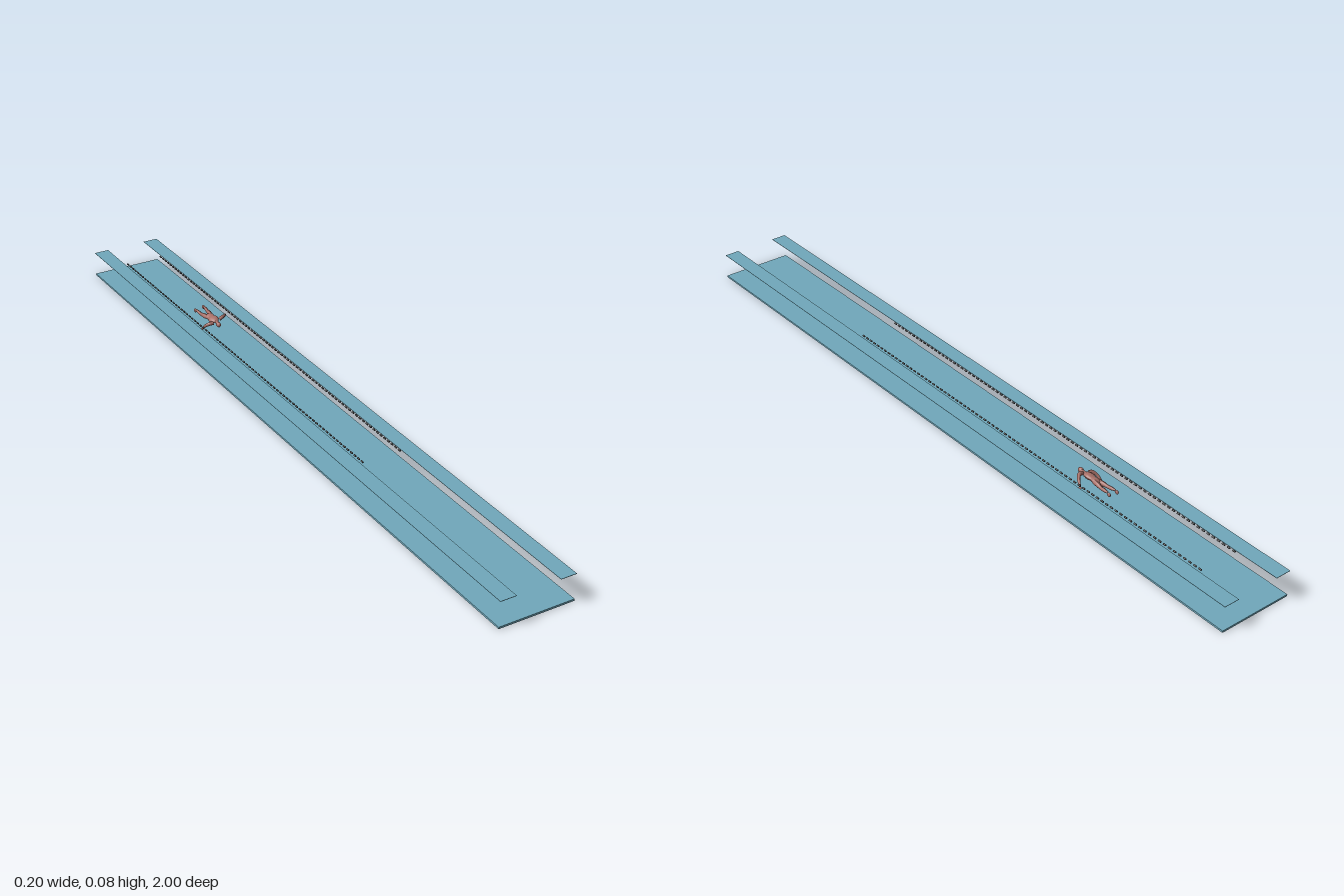
import * as THREE from 'three';

const V = (p) => new THREE.Vector3(...p);

// Rounded tapering tube through points; each point is [x, y, z, radius]
function limb(points, material, name, sides = 10) {
  const curve = new THREE.CatmullRomCurve3(points.map(V));
  const segs = 24;
  const geo = new THREE.TubeGeometry(curve, segs, 1, sides, false);
  const pos = geo.attributes.position;
  const v = new THREE.Vector3();
  for (let i = 0; i <= segs; i++) {
    const t = i / segs;
    const c = curve.getPointAt(t);
    const f = t * (points.length - 1);
    const k = Math.min(Math.floor(f), points.length - 2);
    const r = THREE.MathUtils.lerp(points[k][3], points[k + 1][3], f - k);
    for (let j = 0; j <= sides; j++) {
      const n = i * (sides + 1) + j;
      v.fromBufferAttribute(pos, n).sub(c).multiplyScalar(r).add(c);
      pos.setXYZ(n, v.x, v.y, v.z);
    }
  }
  geo.computeVertexNormals();
  const mesh = new THREE.Mesh(geo, material);
  mesh.name = name;
  return mesh;
}

function ball(x, y, z, sx, sy, sz, material, name) {
  const mesh = new THREE.Mesh(new THREE.SphereGeometry(1, 14, 10), material);
  mesh.position.set(x, y, z);
  mesh.scale.set(sx, sy, sz);
  mesh.name = name;
  return mesh;
}

export function createModel() {
  const model = new THREE.Group();
  model.name = 'swimmingLane';
  const water = new THREE.MeshStandardMaterial({ color: 0x70a8bb });
  water.name = 'poolBlue';
  const rope = new THREE.MeshStandardMaterial({ color: 0x4a4a4a });
  rope.name = 'ropeGrey';
  const skin = new THREE.MeshStandardMaterial({ color: 0xa87068 });
  skin.name = 'skin';

  // Pool floor
  const floor = new THREE.Mesh(new THREE.BoxGeometry(0.2, 0.005, 2), water);
  floor.position.y = 0.0025;
  floor.name = 'poolFloor';
  model.add(floor);

  // Raised side strips and the beaded lane ropes
  const bead = new THREE.CylinderGeometry(0.0022, 0.0022, 0.008, 8).rotateX(Math.PI / 2);
  const beads = 80;
  for (const side of [1, -1]) {
    const label = side > 0 ? 'left' : 'right';
    const strip = new THREE.Mesh(new THREE.BoxGeometry(0.042, 0.001, 2), water);
    strip.position.set(side * 0.079, 0.0705, 0);
    strip.name = label + 'Strip';
    model.add(strip);

    const line = new THREE.Group();
    line.name = label + 'LaneRope';
    for (let i = 0; i < beads; i++) {
      const m = new THREE.Mesh(bead, rope);
      m.position.set(side * 0.052, 0.0725, -0.876 + (i * 1.262) / (beads - 1));
      m.name = 'float';
      line.add(m);
    }
    model.add(line);
  }

  // Swimmer, facing the front and rolled to one side
  const swimmer = new THREE.Group();
  swimmer.name = 'swimmer';
  const torso = new THREE.Group();
  torso.name = 'torso';
  const trunk = limb([
    [0, 0, 0.026, 0.003], [0, 0, 0.021, 0.010], [0, 0.001, 0.008, 0.012],
    [0, 0, -0.008, 0.009], [0, 0, -0.022, 0.0105], [0, 0, -0.03, 0.004],
  ], skin, 'trunk', 14);
  trunk.scale.set(1.15, 0.65, 1);
  torso.add(trunk);
  torso.position.set(0.002, 0.065, -0.462);
  torso.rotation.z = 0.26;
  swimmer.add(torso);

  swimmer.add(limb([[0.002, 0.066, -0.444, 0.004], [0.001, 0.065, -0.429, 0.004]], skin, 'neck'));
  swimmer.add(ball(0, 0.064, -0.424, 0.0062, 0.0072, 0.0085, skin, 'head'));

  // Arms: one pulling down through the water, the other spread out
  swimmer.add(limb([
    [-0.007, 0.063, -0.441, 0.005], [-0.017, 0.062, -0.443, 0.005],
    [-0.026, 0.055, -0.451, 0.004], [-0.029, 0.046, -0.459, 0.0038],
    [-0.031, 0.036, -0.466, 0.0025],
  ], skin, 'rightArm'));
  swimmer.add(ball(-0.0305, 0.032, -0.469, 0.003, 0.0045, 0.003, skin, 'rightHand'));
  swimmer.add(limb([
    [0.011, 0.069, -0.441, 0.005], [0.021, 0.073, -0.443, 0.005],
    [0.032, 0.071, -0.452, 0.004], [0.039, 0.067, -0.462, 0.0036],
    [0.044, 0.063, -0.471, 0.0025],
  ], skin, 'leftArm'));
  swimmer.add(ball(0.046, 0.061, -0.474, 0.0032, 0.0035, 0.004, skin, 'leftHand'));

  // Legs trailing behind
  const legs = [['right', -1, 0.062], ['left', 1, 0.066]];
  for (const [label, s, y] of legs) {
    swimmer.add(limb([
      [0.002 + s * 0.006, y, -0.482, 0.0065], [0.002 + s * 0.008, y, -0.496, 0.0062],
      [0.002 + s * 0.01, y - 0.001, -0.51, 0.0045], [0.002 + s * 0.011, y, -0.522, 0.0045],
      [0.002 + s * 0.012, y + 0.001, -0.535, 0.0025],
    ], skin, label + 'Leg'));
    swimmer.add(ball(0.002 + s * 0.0125, y - 0.002, -0.539, 0.0032, 0.006, 0.0055, skin, label + 'Foot'));
  }
  model.add(swimmer);
  return model;
}
